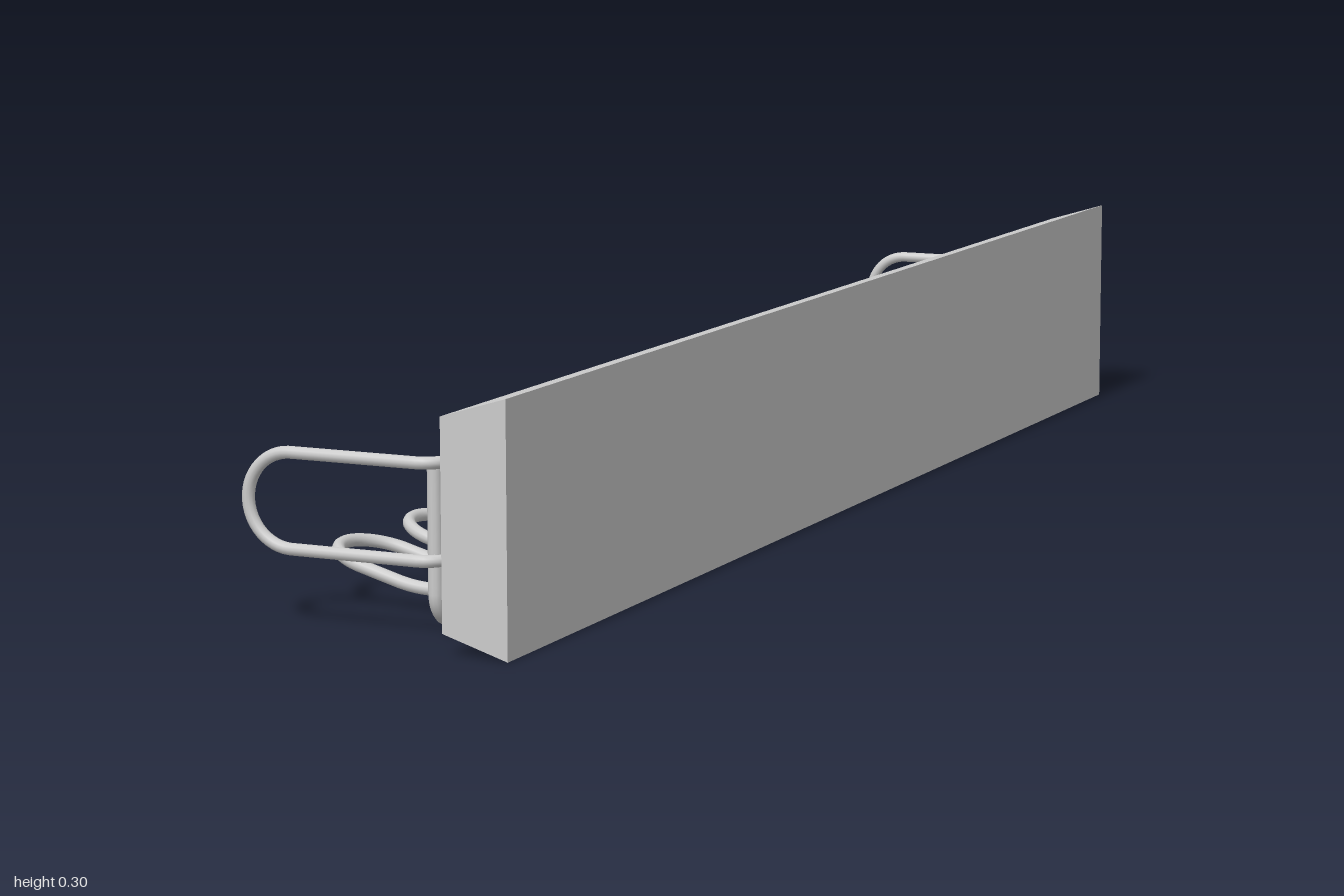
import * as THREE from 'three';
import { toCreasedNormals } from 'three/addons/utils/BufferGeometryUtils.js';

const material = new THREE.MeshStandardMaterial({ color: 0xcccccc });
const V = (x, y, z) => new THREE.Vector3(x, y, z);

// Straight runs through [point, bend radius] pairs, joined by rounded bends
function wirePath(stops) {
  const path = new THREE.CurvePath();
  path.arcLengthDivisions = 800;
  let from = stops[0][0];
  const line = (a, b) => { if (a.distanceTo(b) > 1e-5) path.add(new THREE.LineCurve3(a, b)); };
  for (let i = 1; i < stops.length - 1; i++) {
    const [p, r] = stops[i];
    const back = stops[i - 1][0].clone().sub(p).normalize();
    const on = stops[i + 1][0].clone().sub(p).normalize();
    const at = (dir, d) => p.clone().addScaledVector(dir, d);
    line(from, at(back, r));
    path.add(new THREE.CubicBezierCurve3(at(back, r), at(back, r * 0.448), at(on, r * 0.448), at(on, r)));
    from = at(on, r);
  }
  line(from, stops[stops.length - 1][0]);
  return path;
}

// Round wire; open wires get flat end caps
function wire(name, stops, radius, segments, closed = false) {
  const group = new THREE.Group();
  group.name = name;
  const path = wirePath(stops);
  const tube = new THREE.Mesh(new THREE.TubeGeometry(path, segments, radius, 12, closed), material);
  tube.name = name + 'Wire';
  group.add(tube);
  if (!closed) {
    const n = stops.length - 1;
    for (const [end, next] of [[0, 1], [n, n - 1]]) {
      const cap = new THREE.Mesh(new THREE.CircleGeometry(radius, 12), material);
      cap.name = name + 'Cap';
      const p = stops[end][0];
      cap.position.copy(p);
      cap.lookAt(p.clone().multiplyScalar(2).sub(stops[next][0]));
      group.add(cap);
    }
  }
  return group;
}

// Extrude an x-y shape along z, centred on z = 0
function extrude(shape, depth) {
  const geometry = new THREE.ExtrudeGeometry(shape, { depth, bevelEnabled: false, curveSegments: 10 });
  return geometry.translate(0, 0, -depth / 2);
}

export function createModel() {
  const model = new THREE.Group();
  model.name = 'wallRack';

  // Wall board with sloping long edges
  const boardShape = new THREE.Shape([
    new THREE.Vector2(0.103, 0.025), new THREE.Vector2(0.185, 0),
    new THREE.Vector2(0.185, 0.296), new THREE.Vector2(0.103, 0.271),
  ]);
  const board = new THREE.Mesh(extrude(boardShape, 2), material);
  board.name = 'board';
  model.add(board);

  // Brackets: curved nose, narrowing away from the board
  const bracketShape = new THREE.Shape();
  bracketShape.moveTo(0.104, 0.036);
  bracketShape.lineTo(0.104, 0.261);
  bracketShape.lineTo(0.035, 0.223);
  bracketShape.bezierCurveTo(0.022, 0.205, 0.016, 0.18, 0.016, 0.149);
  bracketShape.bezierCurveTo(0.016, 0.118, 0.022, 0.092, 0.035, 0.074);
  bracketShape.closePath();
  const bracketGeometry = extrude(bracketShape, 2);
  const pos = bracketGeometry.attributes.position;
  for (let i = 0; i < pos.count; i++) {
    const half = THREE.MathUtils.mapLinear(pos.getX(i), 0.016, 0.104, 0.033, 0.043);
    pos.setZ(i, pos.getZ(i) * half);
  }
  const creased = toCreasedNormals(bracketGeometry, 0.4);
  for (const z of [-0.774, 0.77]) {
    const bracket = new THREE.Mesh(creased, material);
    bracket.name = 'bracket';
    bracket.position.z = z;
    model.add(bracket);
  }

  // Closed wire: two long rails whose ends turn outward into upright loops
  const top = 0.205, low = 0.092, tip = -0.178, railX = 0.07;
  const bend = 0.03, round = (top - low) / 2;
  const z0 = -0.951, z1 = 0.944;
  model.add(wire('railLoop', [
    [V(railX, top, 0), 0],
    [V(railX, top, z1), bend], [V(tip, top, z1), round],
    [V(tip, low, z1), round], [V(railX, low, z1), bend],
    [V(railX, low, z0), bend], [V(tip, low, z0), round],
    [V(tip, top, z0), round], [V(railX, top, z0), bend],
    [V(railX, top, 0), 0],
  ], 0.0075, 700, true));

  // Hanging frame: two uprights and the bottom rail
  const frameX = 0.057, frameY = 0.018;
  model.add(wire('hookRail', [
    [V(frameX, top, z0 + 0.016), 0],
    [V(frameX, frameY, z0 + 0.016), 0.035], [V(frameX, frameY, z1 - 0.016), 0.035],
    [V(frameX, top, z1 - 0.016), 0],
  ], 0.009, 260));

  // Row of U-shaped hooks with raised tips
  const w = 0.055;
  for (let i = 0; i < 10; i++) {
    const z = -0.813 + i * 0.174;
    model.add(wire('hook', [
      [V(0.064, 0.028, z - w), 0], [V(-0.037, 0.028, z - w), 0.02],
      [V(-0.161, 0.062, z - w), w], [V(-0.161, 0.062, z + w), w],
      [V(-0.037, 0.028, z + w), 0.02], [V(0.064, 0.028, z + w), 0],
    ], 0.008, 70));
  }
  return model;
}
